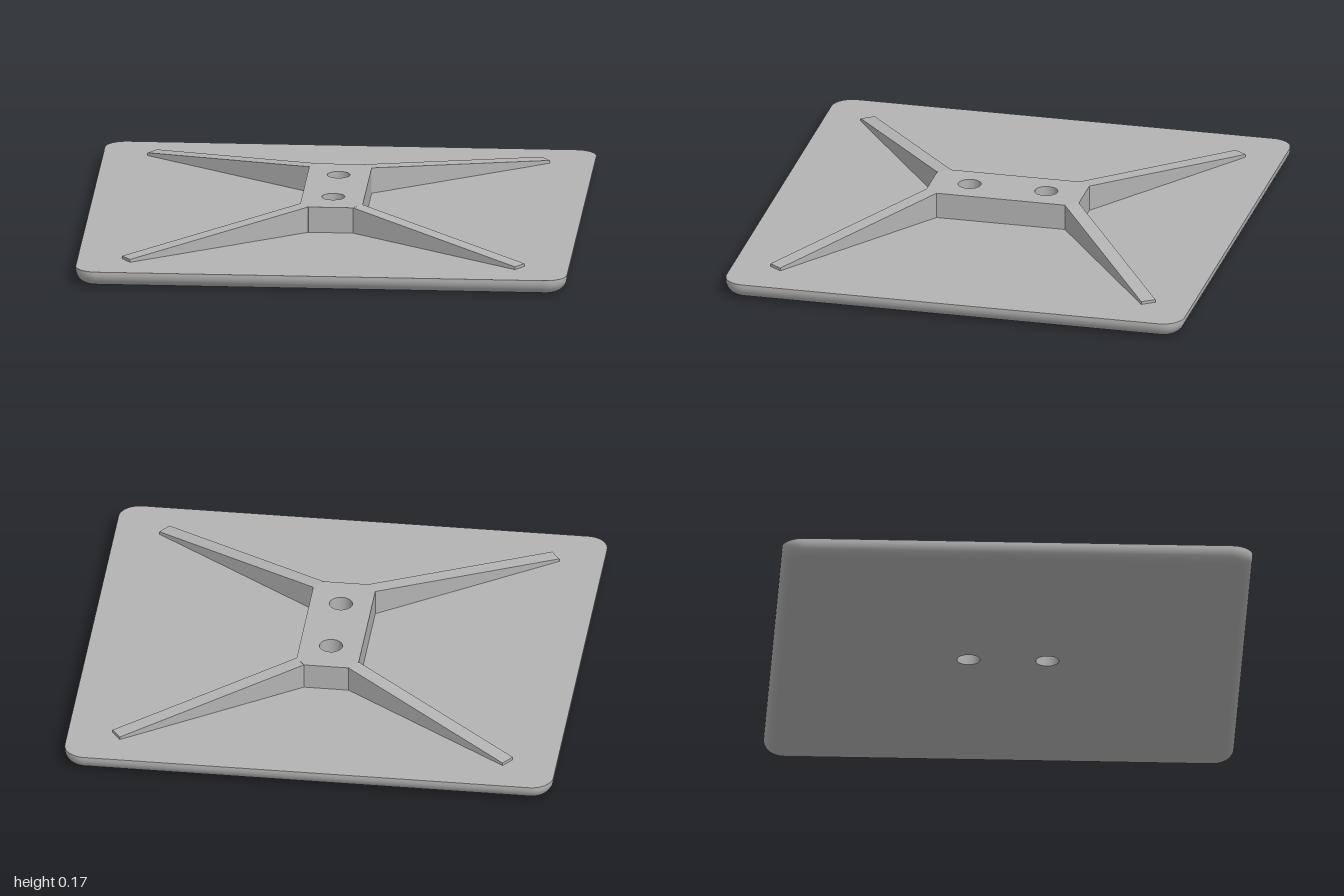
import * as THREE from 'three';

const HALF_X = 1, HALF_Z = 0.957, CORNER = 0.088, FILLET = 0.055;
const PLATE_TOP = 0.065, HUB_TOP = 0.172, TIP_TOP = 0.077;
const HOLE_Z = [-0.16, 0.16], HOLE_R = 0.047;

// Rounded rectangle as points with outward normals
function roundedOutline(hx, hz, r, steps = 10) {
  const pts = [];
  [[1, 1], [-1, 1], [-1, -1], [1, -1]].forEach(([sx, sz], q) => {
    for (let i = 0; i <= steps; i++) {
      const a = (q + i / steps) * Math.PI / 2;
      const nx = Math.cos(a), nz = Math.sin(a);
      pts.push({ x: sx * (hx - r) + r * nx, z: sz * (hz - r) + r * nz, nx, nz });
    }
  });
  return pts;
}

// Sweeps a closed outline through a profile of { inset, y, out, up }
function loft(outline, profile) {
  const pos = [], nor = [], idx = [], n = outline.length;
  for (const p of profile) {
    for (const o of outline) {
      pos.push(o.x - o.nx * p.inset, p.y, o.z - o.nz * p.inset);
      nor.push(o.nx * p.out, p.up, o.nz * p.out);
    }
  }
  for (let j = 0; j < profile.length - 1; j++) {
    for (let i = 0; i < n; i++) {
      const a = j * n + i, b = j * n + (i + 1) % n;
      idx.push(a, a + n, b, b, a + n, b + n);
    }
  }
  const g = new THREE.BufferGeometry();
  g.setAttribute('position', new THREE.Float32BufferAttribute(pos, 3));
  g.setAttribute('normal', new THREE.Float32BufferAttribute(nor, 3));
  g.setIndex(idx);
  return g;
}

function shapeWithHoles(points) {
  const shape = new THREE.Shape(points.map(([x, z]) => new THREE.Vector2(x, z)));
  for (const z of HOLE_Z) {
    shape.holes.push(new THREE.Path().absarc(0, z, HOLE_R, 0, Math.PI * 2, true));
  }
  return shape;
}

export function createModel() {
  const model = new THREE.Group();
  const grey = new THREE.MeshStandardMaterial({ color: 0xb3b3b3 });
  grey.name = 'grey';
  const add = (name, geometry) => {
    const mesh = new THREE.Mesh(geometry, grey);
    mesh.name = name;
    model.add(mesh);
    return mesh;
  };

  // Plate: upright rim with a rounded lower edge
  const outline = roundedOutline(HALF_X, HALF_Z, CORNER);
  const profile = [];
  for (let i = 0; i <= 8; i++) {
    const t = (1 - i / 8) * Math.PI / 2;
    profile.push({
      inset: FILLET * (1 - Math.cos(t)), y: FILLET * (1 - Math.sin(t)),
      out: Math.cos(t), up: -Math.sin(t),
    });
  }
  profile.push({ inset: 0, y: PLATE_TOP, out: 1, up: 0 });
  add('plateRim', loft(outline, profile));

  // Plate faces, pierced by the two holes
  const face = (inset) => new THREE.ShapeGeometry(
    shapeWithHoles(outline.map((o) => [o.x - o.nx * inset, o.z - o.nz * inset])), 24);
  add('plateTop', face(0).rotateX(-Math.PI / 2).translate(0, PLATE_TOP, 0));
  add('plateBottom', face(FILLET).rotateX(Math.PI / 2));

  // Hole walls through the plate, facing inwards
  for (const z of HOLE_Z) {
    const circle = [];
    for (let i = 0; i < 48; i++) {
      const a = -i / 48 * Math.PI * 2, c = Math.cos(a), s = Math.sin(a);
      circle.push({ x: HOLE_R * c, z: z + HOLE_R * s, nx: -c, nz: -s });
    }
    add('holeWall', loft(circle, [
      { inset: 0, y: 0, out: 1, up: 0 }, { inset: 0, y: PLATE_TOP, out: 1, up: 0 }]));
  }

  // Raised hub with chamfered corners
  const hub = shapeWithHoles([
    [0.127, -0.268], [0.127, 0.268], [0.091, 0.318], [-0.091, 0.318],
    [-0.127, 0.268], [-0.127, -0.268], [-0.091, -0.318], [0.091, -0.318]]);
  add('hub', new THREE.ExtrudeGeometry(hub, {
    depth: HUB_TOP - PLATE_TOP, bevelEnabled: false, curveSegments: 24,
  }).rotateX(-Math.PI / 2).translate(0, PLATE_TOP, 0));

  // Four tapering ribs from the hub chamfers towards the plate corners
  const start = [0.109, 0.293], run = [0.692, 0.486], width = 0.0615;
  const length = Math.hypot(...run);
  const side = new THREE.Shape([
    [0, PLATE_TOP], [length, PLATE_TOP], [length, TIP_TOP], [0, HUB_TOP],
  ].map(([x, y]) => new THREE.Vector2(x, y)));
  const ribGeometry = new THREE.ExtrudeGeometry(side, { depth: width, bevelEnabled: false })
    .translate(0, 0, -width / 2);
  for (const sx of [-1, 1]) {
    for (const sz of [-1, 1]) {
      const rib = add('rib', ribGeometry);
      rib.position.set(sx * start[0], 0, sz * start[1]);
      rib.rotation.y = Math.atan2(-sz * run[1], sx * run[0]);
    }
  }
  return model;
}
